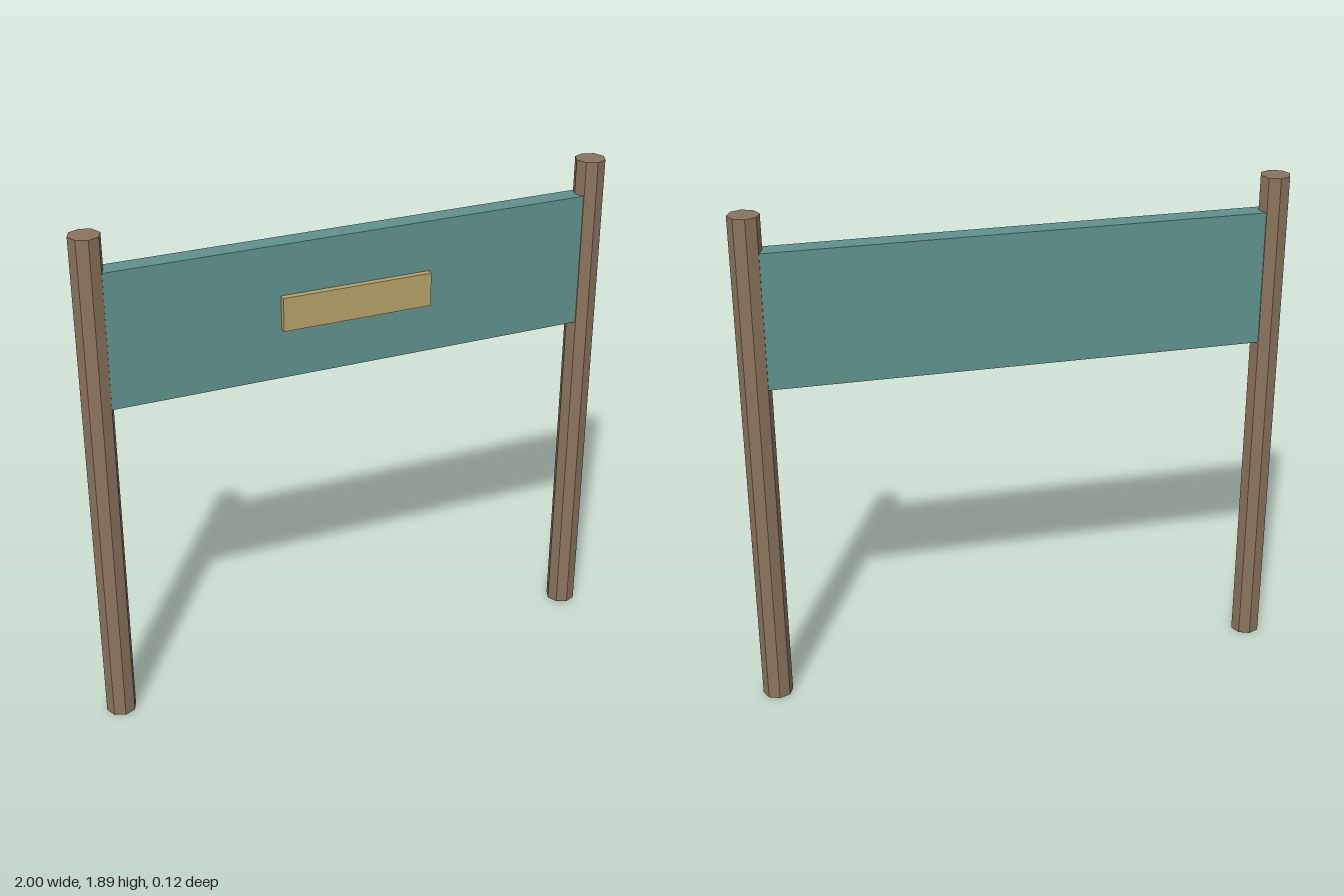
import * as THREE from 'three';

export function createModel() {
  const group = new THREE.Group();
  const material = (name, color) => {
    const m = new THREE.MeshStandardMaterial({ color, flatShading: true });
    m.name = name;
    return m;
  };
  const wood = material('brown wood', 0x8b745d);
  const teal = material('teal paint', 0x5f928d);
  const tan = material('tan plaque', 0xb5a168);

  const add = (name, geometry, mat, x, y, z) => {
    const mesh = new THREE.Mesh(geometry, mat);
    mesh.name = name;
    mesh.position.set(x, y, z);
    group.add(mesh);
  };

  // Eight-sided posts, mirrored left and right
  const radius = 0.056, height = 1.89, axisZ = -0.0025;
  const postGeometry = new THREE.CylinderGeometry(radius, radius, height, 8);
  for (const [name, side] of [['leftPost', 1], ['rightPost', -1]]) {
    add(name, postGeometry, wood, side * (1 - radius), height / 2, axisZ);
  }

  // Sign board running into both posts
  const boardDepth = 0.075;
  add('signBoard', new THREE.BoxGeometry(1.87, 0.5, boardDepth), teal, 0, 1.512, axisZ);

  // Plaque fixed to the front of the board
  const plaqueDepth = 0.024;
  add('plaque', new THREE.BoxGeometry(0.564, 0.125, plaqueDepth), tan,
    0, 1.512, axisZ + boardDepth / 2 + plaqueDepth / 2);

  return group;
}
